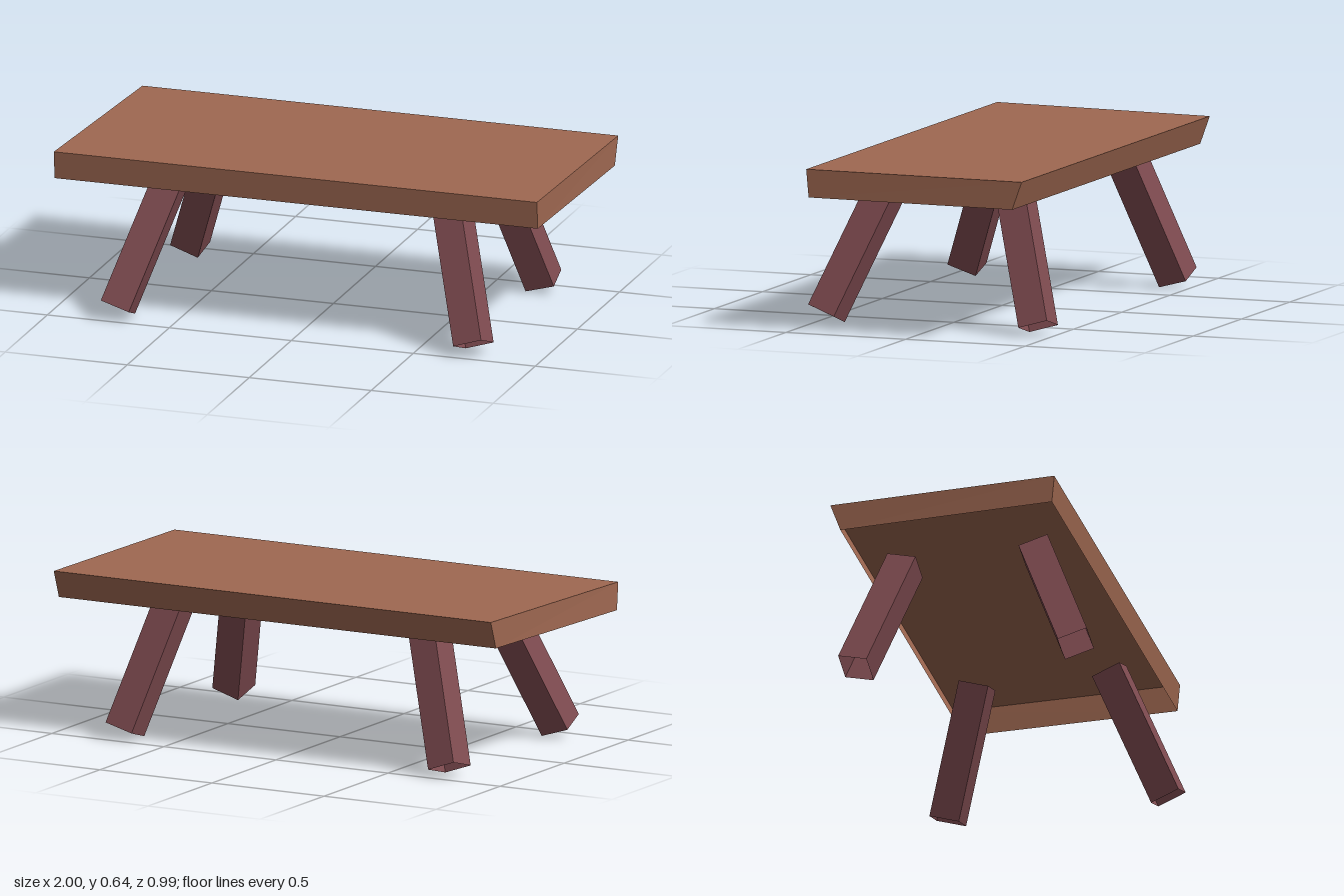
import * as THREE from 'three';

export function createModel() {
  const group = new THREE.Group();
  const wood = new THREE.MeshStandardMaterial({ color: 0x9f6851, side: THREE.DoubleSide, flatShading: true });
  wood.name = 'brown wood';
  const legWood = new THREE.MeshStandardMaterial({ color: 0x804c51, side: THREE.DoubleSide, flatShading: true });
  legWood.name = 'reddish wood';

  // Tabletop: a hollow, slightly skewed shell, open underneath
  const topRing = [[-1, 0.645, 0.415], [0.98, 0.645, 0.415], [1, 0.645, -0.485], [-0.95, 0.645, -0.485]];
  topRing[0][2] = topRing[1][2] = 0.423;
  const lowRing = [[-1, 0.535, 0.413], [0.98, 0.535, 0.413], [1, 0.535, -0.445], [-0.95, 0.535, -0.445]];
  const positions = [];
  const quad = (a, b, c, d) => positions.push(...a, ...b, ...c, ...a, ...c, ...d);
  quad(...topRing);
  for (let i = 0; i < 4; i++) {
    const j = (i + 1) % 4;
    quad(lowRing[i], lowRing[j], topRing[j], topRing[i]);
  }
  const shell = new THREE.BufferGeometry();
  shell.setAttribute('position', new THREE.Float32BufferAttribute(positions, 3));
  shell.computeVertexNormals();
  const tabletop = new THREE.Mesh(shell, wood);
  tabletop.name = 'tabletop';
  group.add(tabletop);

  // Splayed legs: open square tubes cut square to their axis
  const width = 0.12;
  function addLeg(name, foot, head) {
    const a = new THREE.Vector3(...foot);
    const b = new THREE.Vector3(...head);
    const up = b.clone().sub(a);
    const length = up.length();
    up.normalize();
    const side = new THREE.Vector3(up.y, -up.x, 0).normalize();
    const depth = side.clone().cross(up);
    const geometry = new THREE.CylinderGeometry(width / Math.SQRT2, width / Math.SQRT2, length, 4, 1, true);
    geometry.rotateY(Math.PI / 4);
    geometry.applyMatrix4(new THREE.Matrix4().makeBasis(side, up, depth));
    const leg = new THREE.Mesh(geometry, legWood);
    leg.position.copy(a).add(b).multiplyScalar(0.5);
    leg.name = name;
    group.add(leg);
  }
  addLeg('frontLeftLeg', [0.726, 0.047, 0.441], [0.57, 0.54, 0.244]);
  addLeg('frontRightLeg', [-0.731, 0.047, 0.441], [-0.575, 0.54, 0.244]);
  addLeg('backLeftLeg', [0.71, 0.04, -0.437], [0.572, 0.54, -0.285]);
  addLeg('backRightLeg', [-0.738, 0.04, -0.437], [-0.562, 0.54, -0.285]);

  return group;
}
